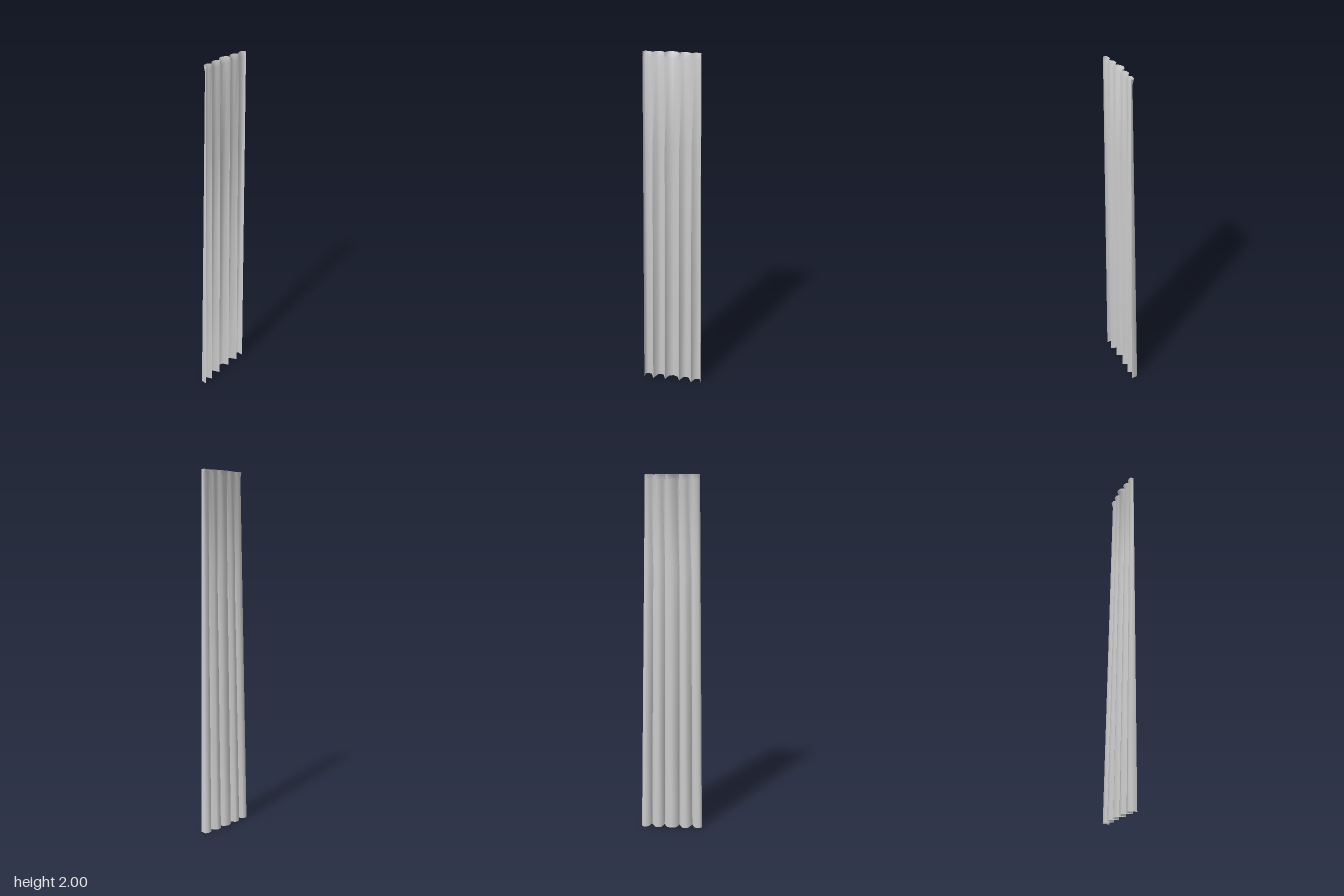
import * as THREE from 'three';
import { toCreasedNormals } from 'three/addons/utils/BufferGeometryUtils.js';

// Half cross-section from the middle outwards: [x at foot, z at foot, z below lip, z at lip]
const HALF = [
  [0, -0.032, 0.010, -0.011],
  [0.027, -0.022, 0.012, -0.003],
  [0.044, 0.016, 0.020, 0.018],
  [0.0625, -0.027, 0.014, 0.002],
  [0.08, -0.029, 0.012, 0.0],
  [0.095, -0.027, 0.014, 0.002],
  [0.118, 0.020, 0.021, 0.020],
  [0.136, -0.021, 0.016, 0.006],
  [0.1625, -0.025, 0.014, 0.006],
  [0.175, -0.014, 0.020, 0.012],
  [0.175, 0.018, 0.028, 0.028],
];
const HEIGHT = 2, LIP = 1.97, TOP_SCALE = 0.85;

function flutedSheet() {
  // Mirror the half section into a full one
  const section = [
    ...HALF.slice(1).reverse().map(([x, ...z]) => [-x, ...z]),
    ...HALF,
  ];
  const rows = [0, 0.5, 1, 1.5, LIP, HEIGHT];
  const n = section.length, pos = [], index = [];

  // Flutes narrow and flatten upwards, then flare back at the lip
  rows.forEach((y, r) => {
    const taper = THREE.MathUtils.lerp(1, TOP_SCALE, y / HEIGHT);
    for (const [x, z0, z1, z2] of section) {
      const z = y > LIP ? z2 : THREE.MathUtils.lerp(z0, z1, y / LIP);
      pos.push(x * taper, y, z);
    }
    if (r === 0) return;
    for (let i = 0; i < n - 1; i++) {
      const a = (r - 1) * n + i, b = a + 1, c = a + n, d = c + 1;
      index.push(a, b, d, a, d, c);
    }
  });

  const geo = new THREE.BufferGeometry();
  geo.setAttribute('position', new THREE.Float32BufferAttribute(pos, 3));
  geo.setIndex(index);
  return toCreasedNormals(geo, 1.25); // sharp valleys, rounded ridges
}

export function createModel() {
  const group = new THREE.Group();
  const material = new THREE.MeshStandardMaterial({ color: 0xcccccc, side: THREE.DoubleSide });
  const panel = new THREE.Mesh(flutedSheet(), material);
  panel.name = 'flutedPanel';
  group.add(panel);
  return group;
}
